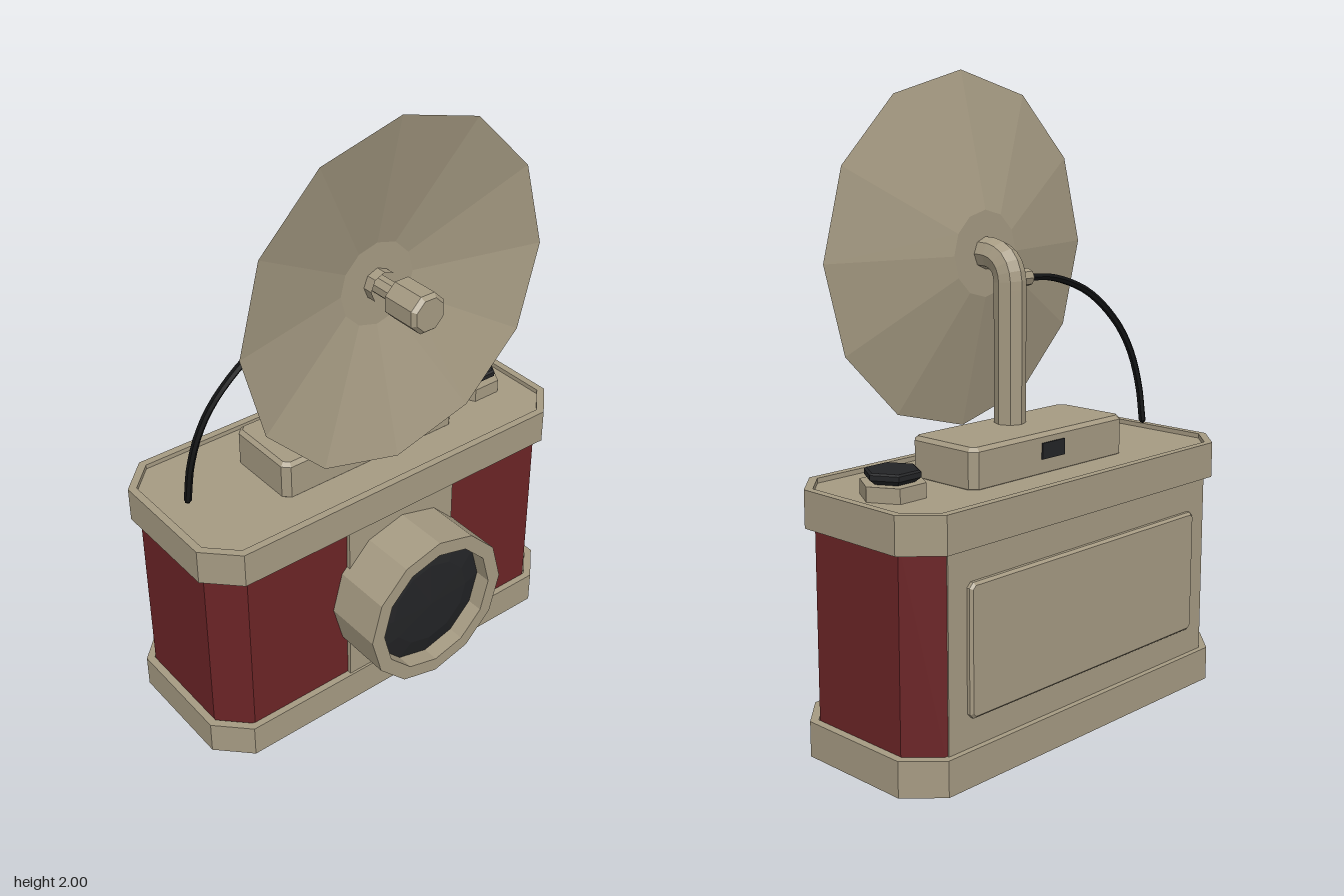
import * as THREE from 'three';

const mat = (name, color, extra = {}) => {
  const m = new THREE.MeshStandardMaterial({ color, ...extra });
  m.name = name;
  return m;
};

export function createModel() {
  const beige = mat('beige metal', 0xa59a82);
  const beigeSheet = mat('beige metal', 0xa59a82, { side: THREE.DoubleSide });
  const red = mat('red leather', 0x6b2426);
  const black = mat('black', 0x232426);
  const cableBlack = mat('cable black', 0x111213);

  const root = new THREE.Group();
  root.name = 'dishCamera';
  const CX = -0.0875; // middle of the camera body in x

  // Adds a faceted mesh
  const add = (name, geometry, material, x = 0, y = 0, z = 0) => {
    const g = geometry.index ? geometry.toNonIndexed() : geometry;
    g.computeVertexNormals();
    const mesh = new THREE.Mesh(g, material);
    mesh.name = name;
    mesh.position.set(x, y, z);
    root.add(mesh);
    return mesh;
  };

  // Rectangle with cut corners
  const octPoints = (hx, hy, c) => [
    [hx, -hy + c], [hx, hy - c], [hx - c, hy], [-hx + c, hy],
    [-hx, hy - c], [-hx, -hy + c], [-hx + c, -hy], [hx - c, -hy],
  ].map(([x, y]) => new THREE.Vector2(x, y));

  // Upright slab, standing on its own y = 0
  const slab = (hx, hz, c, height, hole) => {
    const shape = new THREE.Shape(octPoints(hx, hz, c));
    if (hole) shape.holes.push(new THREE.Path(octPoints(...hole)));
    return new THREE.ExtrudeGeometry(shape, { depth: height, bevelEnabled: false }).rotateX(-Math.PI / 2);
  };

  // Slab whose edges are bevelled inside its given size
  const bevelled = (hx, hy, c, height, b) =>
    new THREE.ExtrudeGeometry(new THREE.Shape(octPoints(hx - b, hy - b, c)), {
      depth: height - 2 * b, bevelThickness: b, bevelSize: b, bevelSegments: 1,
    }).translate(0, 0, b);

  // Turned part lying along x; profile holds [radius, x]
  const turnedX = (profile, sides, spin = 0) =>
    new THREE.LatheGeometry(profile.map(([r, x]) => new THREE.Vector2(r, x)), sides)
      .rotateY(spin).rotateZ(-Math.PI / 2);

  // Body and rimmed caps
  add('body', slab(0.27, 0.675, 0.093, 0.66), red, CX, 0.08);
  for (const [name, y, h, plateY] of [['bottomCap', 0, 0.11, 0.015], ['topCap', 0.7, 0.115, 0.71]]) {
    add(name + 'Rim', slab(0.2925, 0.7, 0.1, h, [0.2675, 0.675, 0.085]), beige, CX, y);
    add(name + 'Plate', slab(0.2675, 0.675, 0.085, 0.09), beige, CX, plateY);
  }

  // Front and back panels
  add('frontPanel', new THREE.BoxGeometry(0.02, 0.6, 0.42), beige, 0.187, 0.405);
  add('backPanel', new THREE.BoxGeometry(0.009, 0.6, 1.164), beige, -0.3575, 0.405);
  add('backDoor', bevelled(0.51, 0.2, 0.01, 0.04, 0.008).rotateY(-Math.PI / 2), beige, -0.34, 0.4);

  // Lens barrel and recessed glass
  add('lensBarrel', turnedX([[0.265, 0.18], [0.265, 0.38], [0.217, 0.38], [0.217, 0.31]], 12), beige, 0, 0.405);
  add('lensGlass', turnedX([[0.22, 0.325], [0.15, 0.343], [0, 0.35]], 12), black, 0, 0.405);

  // Viewfinder housing with a small rear window
  add('viewfinder', bevelled(0.135, 0.34, 0.015, 0.135, 0.012).rotateX(-Math.PI / 2), beige, -0.085, 0.79);
  add('viewfinderWindow', new THREE.BoxGeometry(0.008, 0.05, 0.1), black, -0.221, 0.87, 0);

  // Hexagonal dial
  add('dialBase', new THREE.CylinderGeometry(0.1, 0.1, 0.055, 6), beige, -0.085, 0.8175, -0.53);
  add('dialKnob', new THREE.LatheGeometry([[0.066, 0], [0.086, 0.015], [0.086, 0.03], [0.078, 0.035], [0, 0.035]]
    .map(p => new THREE.Vector2(...p)), 6), black, -0.085, 0.845, -0.53);

  // Bent mast
  const v = (x, y, z = 0) => new THREE.Vector3(x, y, z);
  const mast = new THREE.CurvePath();
  mast.add(new THREE.LineCurve3(v(-0.04, 0.9), v(-0.04, 1.36)));
  mast.add(new THREE.QuadraticBezierCurve3(v(-0.04, 1.36), v(-0.035, 1.44), v(0.04, 1.445)));
  mast.add(new THREE.LineCurve3(v(0.04, 1.445), v(0.1, 1.445)));
  add('mast', new THREE.TubeGeometry(mast, 28, 0.05, 8), beige);

  // Dish and feed horn
  add('dish', turnedX([[0, 0.065], [0.135, 0.065], [0.5575, 0.17]], 12), beigeSheet, 0, 1.4425);
  add('feedHorn', turnedX([[0.03, 0.065], [0.03, 0.15], [0.065, 0.175], [0.065, 0.29], [0.053, 0.303], [0, 0.303]],
    8, Math.PI / 8), beige, 0, 1.445);

  // Cable and its socket on the mast
  add('cableSocket', new THREE.CylinderGeometry(0.028, 0.028, 0.05, 8).rotateX(Math.PI / 2), beige, -0.043, 1.372, 0.052);
  const cable = new THREE.CatmullRomCurve3([
    v(-0.085, 0.845, 0.605), v(-0.078, 0.97, 0.59), v(-0.07, 1.09, 0.552), v(-0.06, 1.19, 0.49),
    v(-0.05, 1.3, 0.36), v(-0.043, 1.36, 0.2), v(-0.042, 1.372, 0.06),
  ]);
  add('cable', new THREE.TubeGeometry(cable, 24, 0.012, 6), cableBlack);
  for (const t of [0, 1]) {
    const p = cable.getPoint(t);
    add('cableEnd', new THREE.IcosahedronGeometry(0.011, 0), cableBlack, p.x, p.y, p.z);
  }
  return root;
}
